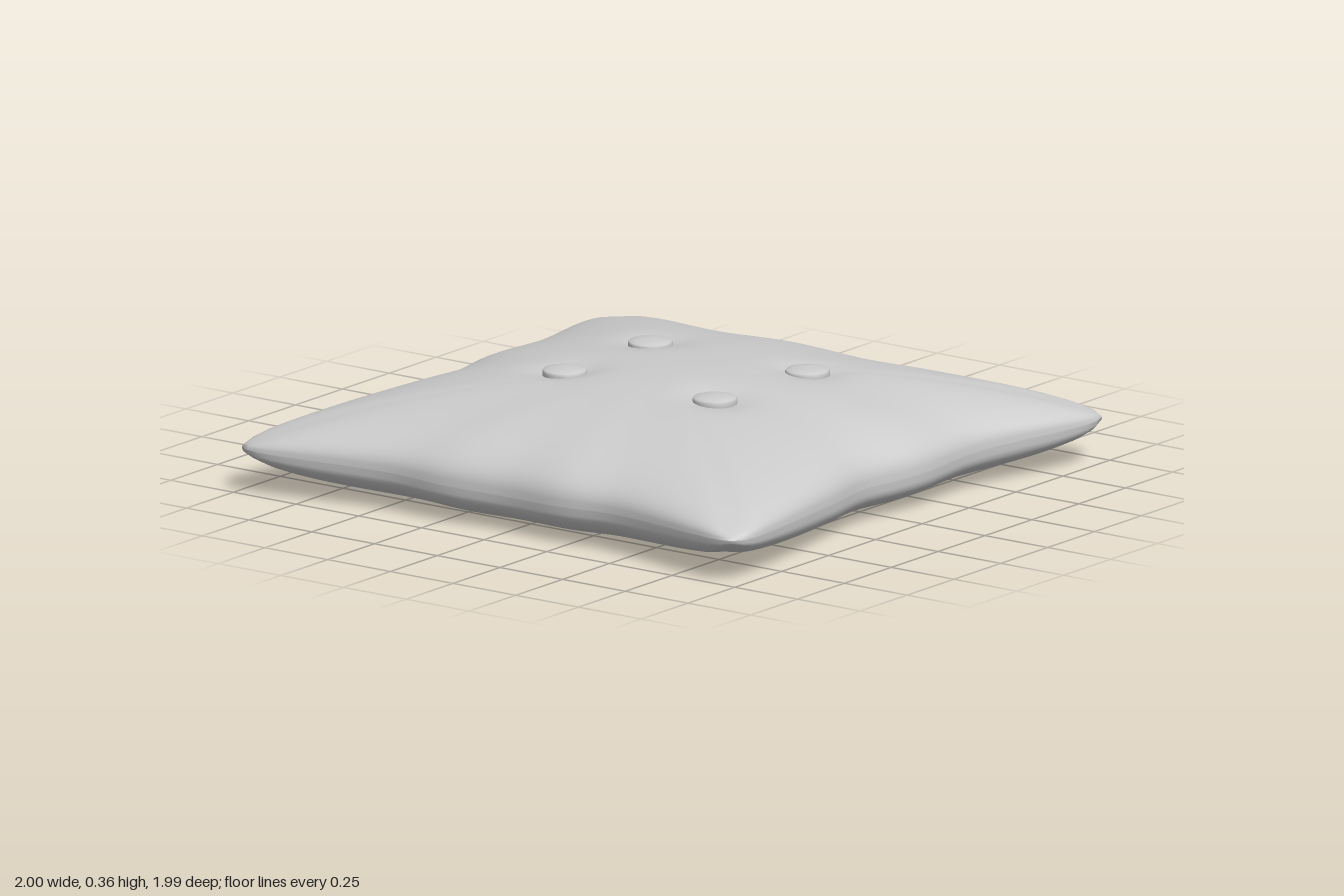
import * as THREE from 'three';

// Seam outline (x, z), clockwise seen from above
const OUTLINE = [
  [-0.93, -1], [-0.8, -0.985], [-0.43, -0.9], [-0.08, -0.915], [0.28, -0.885], [0.6, -0.945], [0.92, -1],
  [0.98, -0.985], [1, -0.92], [0.985, -0.8], [0.9, -0.43], [0.905, -0.15], [0.875, 0.12], [0.92, 0.36],
  [0.985, 0.75], [1, 0.92], [0.98, 0.98], [0.92, 0.99], [0.82, 0.975], [0.43, 0.9], [0.23, 0.91], [0, 0.895],
  [-0.22, 0.915], [-0.45, 0.91], [-0.85, 0.985], [-0.93, 0.99], [-0.985, 0.975], [-1, 0.91], [-0.985, 0.78],
  [-0.91, 0.35], [-0.875, 0.12], [-0.91, -0.12], [-0.905, -0.43], [-0.985, -0.8], [-1, -0.92], [-0.985, -0.985],
];
const BUTTONS = [[-0.305, -0.295], [0.31, -0.31], [-0.295, 0.175], [0.3, 0.17]];
const SEGMENTS = 180, RINGS = 44;

const rim = new THREE.CatmullRomCurve3(OUTLINE.map(([x, z]) => new THREE.Vector3(x, 0, z)), true)
  .getSpacedPoints(SEGMENTS).slice(0, SEGMENTS);

// Seam is a little higher at the corners than along the sides
const seamHeight = (u, v) => 0.12 + 0.025 * Math.abs(u * v);

// Puffed upper face, pulled in around each button
function topHeight(x, z, u, v) {
  const base = seamHeight(u, v);
  const puff = Math.pow(Math.max(0, (1 - u * u) * (1 - v * v)), 0.4);
  let dimple = 0;
  for (const [bx, bz] of BUTTONS) dimple += 0.03 * Math.exp(-((x - bx) ** 2 + (z - bz) ** 2) / 0.011);
  return base + (0.36 - base) * puff - dimple * puff;
}

// Lower face rests flat on the ground and curls up to the seam
function bottomHeight(x, z, u, v) {
  const puff = 1.37 * Math.pow(Math.max(0, (1 - u * u) * (1 - v * v)), 0.336);
  return seamHeight(u, v) * (1 - Math.min(1, puff));
}

// Rings of the shrunken outline, raised by a height rule
function cushionFace(height, up) {
  const position = [0, height(0, 0, 0, 0), 0], index = [];
  const tri = (a, b, c) => (up ? index.push(a, c, b) : index.push(a, b, c));
  for (let i = 1; i <= RINGS; i++) {
    const t = 1 - Math.pow(1 - i / RINGS, 1.7);
    for (let j = 0; j < SEGMENTS; j++) {
      const p = rim[j], side = Math.max(Math.abs(p.x), Math.abs(p.z));
      const x = p.x * t, z = p.z * t;
      position.push(x, height(x, z, (t * p.x) / side, (t * p.z) / side), z);
      const next = (j + 1) % SEGMENTS, outer = 1 + (i - 1) * SEGMENTS, inner = outer - SEGMENTS;
      if (i === 1) tri(0, outer + j, outer + next);
      else {
        tri(inner + j, outer + j, outer + next);
        tri(inner + j, outer + next, inner + next);
      }
    }
  }
  const geometry = new THREE.BufferGeometry();
  geometry.setAttribute('position', new THREE.Float32BufferAttribute(position, 3));
  geometry.setIndex(index);
  geometry.computeVertexNormals();
  return geometry;
}

export function createModel() {
  const group = new THREE.Group();
  group.name = 'cushion';
  const material = new THREE.MeshStandardMaterial({ color: 0xcccccc });
  const add = (geometry, name) => {
    const mesh = new THREE.Mesh(geometry, material);
    mesh.name = name;
    group.add(mesh);
    return mesh;
  };

  add(cushionFace(topHeight, true), 'cushionTop');
  add(cushionFace(bottomHeight, false), 'cushionBottom');

  // Domed tufting buttons
  const profile = [[0, -0.025], [0.066, -0.02], [0.072, 0], [0.072, 0.016], [0.068, 0.022], [0.05, 0.027], [0.025, 0.03], [0, 0.031]]
    .map(([r, y]) => new THREE.Vector2(r, y));
  const buttonGeometry = new THREE.LatheGeometry(profile, 32);
  BUTTONS.forEach(([x, z], i) => {
    const y = topHeight(x, z, x / 0.9, z / 0.9);
    add(buttonGeometry, `button${i + 1}`).position.set(x, y + 0.005, z);
  });
  return group;
}
